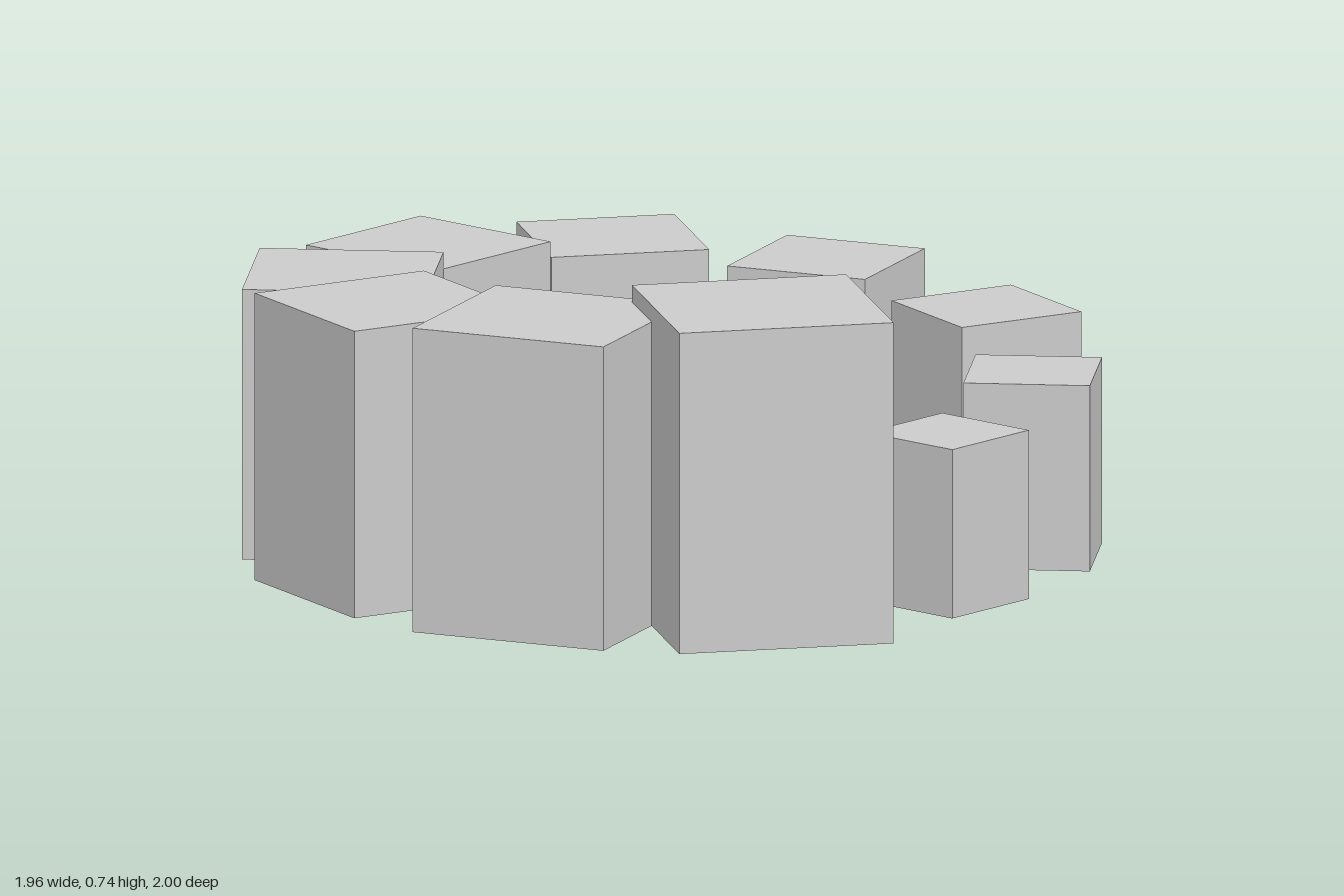
import * as THREE from 'three';

const COUNT = 10;
const RADIUS = 0.783; // ring radius through the block centres
const BASE = 0.261;   // width of the smallest block
const RING_Z = -0.041;

export function createModel() {
  const group = new THREE.Group();
  group.name = 'blockRing';
  const material = new THREE.MeshStandardMaterial({ color: 0xcccccc, flatShading: true });

  // Square blocks around a ring, each a tenth larger than the first
  for (let i = 0; i < COUNT; i++) {
    const angle = (i / COUNT) * Math.PI * 2;
    const width = BASE * (1 + i * 0.1);
    const height = width * 1.5;
    const block = new THREE.Mesh(new THREE.BoxGeometry(width, height, width), material);
    block.name = `block${i + 1}`;
    block.position.set(RADIUS * Math.cos(angle), height / 2, RING_Z - RADIUS * Math.sin(angle));
    block.rotation.y = angle; // one face points at the ring centre
    group.add(block);
  }
  return group;
}
